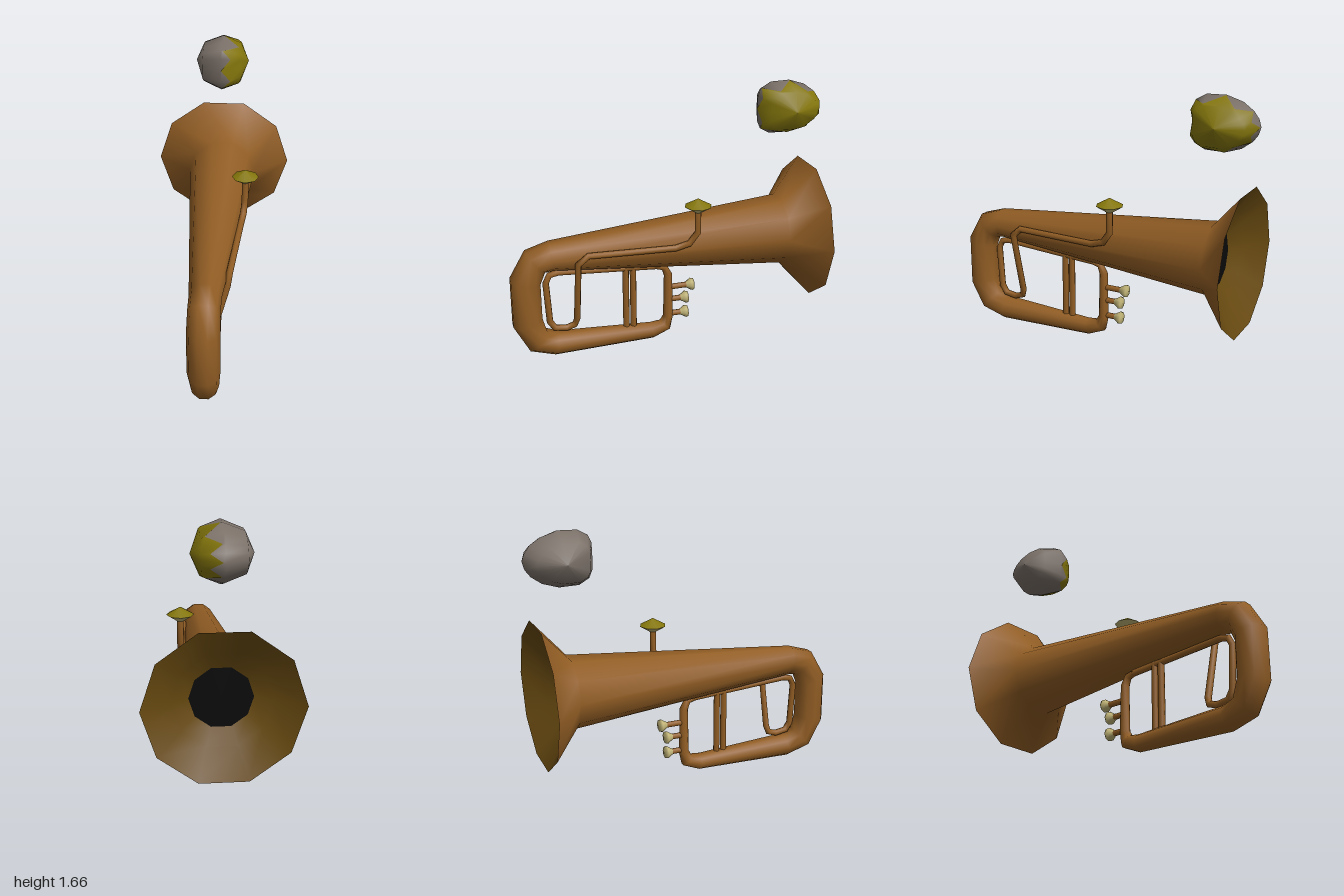
import * as THREE from 'three';

const mat = (name, color, side = THREE.FrontSide) => {
  const m = new THREE.MeshStandardMaterial({ color, side });
  m.name = name;
  return m;
};

// Skin a list of closed rings (arrays of Vector3) with smooth normals
function loft(rings) {
  const n = rings[0].length, pos = [], idx = [];
  rings.forEach(r => r.forEach(p => pos.push(p.x, p.y, p.z)));
  for (let i = 0; i < rings.length - 1; i++) {
    for (let k = 0; k < n; k++) {
      const a = i * n + k, b = i * n + (k + 1) % n;
      idx.push(a, b, a + n, b, b + n, a + n);
    }
  }
  const g = new THREE.BufferGeometry();
  g.setAttribute('position', new THREE.Float32BufferAttribute(pos, 3));
  g.setIndex(idx);
  g.computeVertexNormals();
  return g;
}

// Tube through rows of [z, y, radius, x]
function pipe(rows, sides) {
  const pts = rows.map(([z, y, , x = 0]) => new THREE.Vector3(x, y, z));
  return loft(pts.map((p, i) => {
    const t = new THREE.Vector3();
    if (i > 0) t.add(p.clone().sub(pts[i - 1]).normalize());
    if (i < pts.length - 1) t.add(pts[i + 1].clone().sub(p).normalize());
    t.normalize();
    const b = new THREE.Vector3(1, 0, 0).addScaledVector(t, -t.x).normalize();
    const n = t.clone().cross(b);
    return Array.from({ length: sides }, (_, k) => {
      const a = k / sides * Math.PI * 2, r = rows[i][2];
      return p.clone().addScaledVector(b, r * Math.cos(a)).addScaledVector(n, r * Math.sin(a));
    });
  }));
}

// Egg halves meeting in a zigzag crack; the long axis runs along z
function eggHalf(yolkSide) {
  const half = [[-0.585, 0], [-0.587, 0.08], [-0.608, 0.128], [-0.67, 0.163], [-0.79, 0.166],
    [-0.89, 0.135], [-0.955, 0.088], [-0.987, 0.045], [-1, 0]];
  const outline = [...half, ...half.slice(1, -1).reverse().map(([z, y]) => [z, -y])];
  const crack = [0, 0.06, 0.01, 0.11, 0.01, 0.1, 0.015, 0.08, 0.015];
  const rx = 0.172, pole = Math.PI / 2;
  const ring = latitude => outline.map(([z, y], k) => {
    const lat = latitude(Math.asin(crack[Math.min(k, 16 - k)] / rx));
    const c = Math.cos(lat);
    return new THREE.Vector3(rx * Math.sin(lat), 1.5 + y * c, -0.78 + (z + 0.78) * c ** 0.8);
  });
  const latitudes = yolkSide
    ? [() => pole, () => pole / 2, edge => edge]
    : [edge => edge, () => 0, () => -pole / 2, () => -pole];
  return loft(latitudes.map(ring));
}

export function createModel() {
  const group = new THREE.Group();
  const brass = mat('brass', 0x915d24);
  const innerBrass = mat('inner brass', 0x674910, THREE.DoubleSide);
  const black = mat('black', 0x0a0a0a);
  const cream = mat('cream', 0xc2b578);
  const yellow = mat('yellow', 0x84760c);
  const grey = mat('shell grey', 0x7b7169);
  const add = (name, geometry, material, x = 0, y = 0, z = 0) => {
    const m = new THREE.Mesh(geometry, material);
    m.name = name;
    m.position.set(x, y, z);
    group.add(m);
    return m;
  };

  // Bell flare and tapering main tube, folded around the front and back along the bottom
  add('bellAndMainTube', pipe([
    [-0.945, 0.68, 0.457], [-0.75, 0.68, 0.226], [0.74, 0.68, 0.095], [0.84, 0.655, 0.094],
    [0.906, 0.53, 0.097], [0.906, 0.255, 0.097], [0.845, 0.115, 0.087], [0.73, 0.075, 0.077],
    [0.1, 0.065, 0.053], [0.01, 0.092, 0.045], [-0.01, 0.155, 0.032], [-0.01, 0.45, 0.027],
    [0.015, 0.505, 0.023], [0.06, 0.518, 0.021],
  ], 10), brass);

  // Inside of the bell and its dark throat
  add('bellInside', pipe([[-0.945, 0.68, 0.457], [-0.83, 0.68, 0.285], [-0.77, 0.68, 0.18]], 10), innerBrass);
  add('bellThroat', new THREE.CircleGeometry(0.185, 10), black, 0, 0.68, -0.772).rotation.y = Math.PI;

  // Thin lead pipe up to the mouthpiece
  const r = 0.021;
  add('leadPipe', pipe([
    [0.06, 0.518, r], [0.7, 0.562, r], [0.755, 0.55, r], [0.78, 0.5, r], [0.765, 0.23, r],
    [0.735, 0.182, r], [0.66, 0.17, r], [0.607, 0.187, r], [0.593, 0.23, r, 0.01],
    [0.593, 0.65, r, 0.115], [0.53, 0.703, r, 0.125], [-0.01, 0.703, r, 0.165],
    [-0.095, 0.73, r, 0.178], [-0.145, 0.8, r, 0.185], [-0.145, 0.95, r, 0.185],
  ], 8), brass);

  // Pair of upright tubes
  for (const z of [0.27, 0.222]) {
    add('uprightTube', new THREE.CylinderGeometry(0.021, 0.021, 0.44, 8), brass, 0, 0.325, z);
  }

  // Three valves with flared buttons
  const button = new THREE.LatheGeometry([[0.02, 0], [0.03, 0.018], [0.042, 0.036], [0.038, 0.05], [0, 0.056]]
    .map(([x, y]) => new THREE.Vector2(x, y)), 8);
  for (const [y, z] of [[0.36, -0.13], [0.272, -0.092], [0.168, -0.092]]) {
    const len = -z + 0.01;
    add('valveStem', new THREE.CylinderGeometry(0.019, 0.019, len, 8), brass, 0, y, z + len / 2 - 0.005)
      .rotation.x = -Math.PI / 2;
    add('valveButton', button, cream, 0, y, z).rotation.x = -Math.PI / 2;
  }

  // Mouthpiece
  add('mouthpieceTop', new THREE.ConeGeometry(0.085, 0.048, 8), yellow, 0.185, 0.998, -0.145);
  add('mouthpieceCup', new THREE.CylinderGeometry(0.085, 0.022, 0.04, 8), cream, 0.185, 0.954, -0.145);

  // Floating two-tone egg
  add('eggYolkSide', eggHalf(true), yellow);
  add('eggShellSide', eggHalf(false), grey);

  return group;
}
